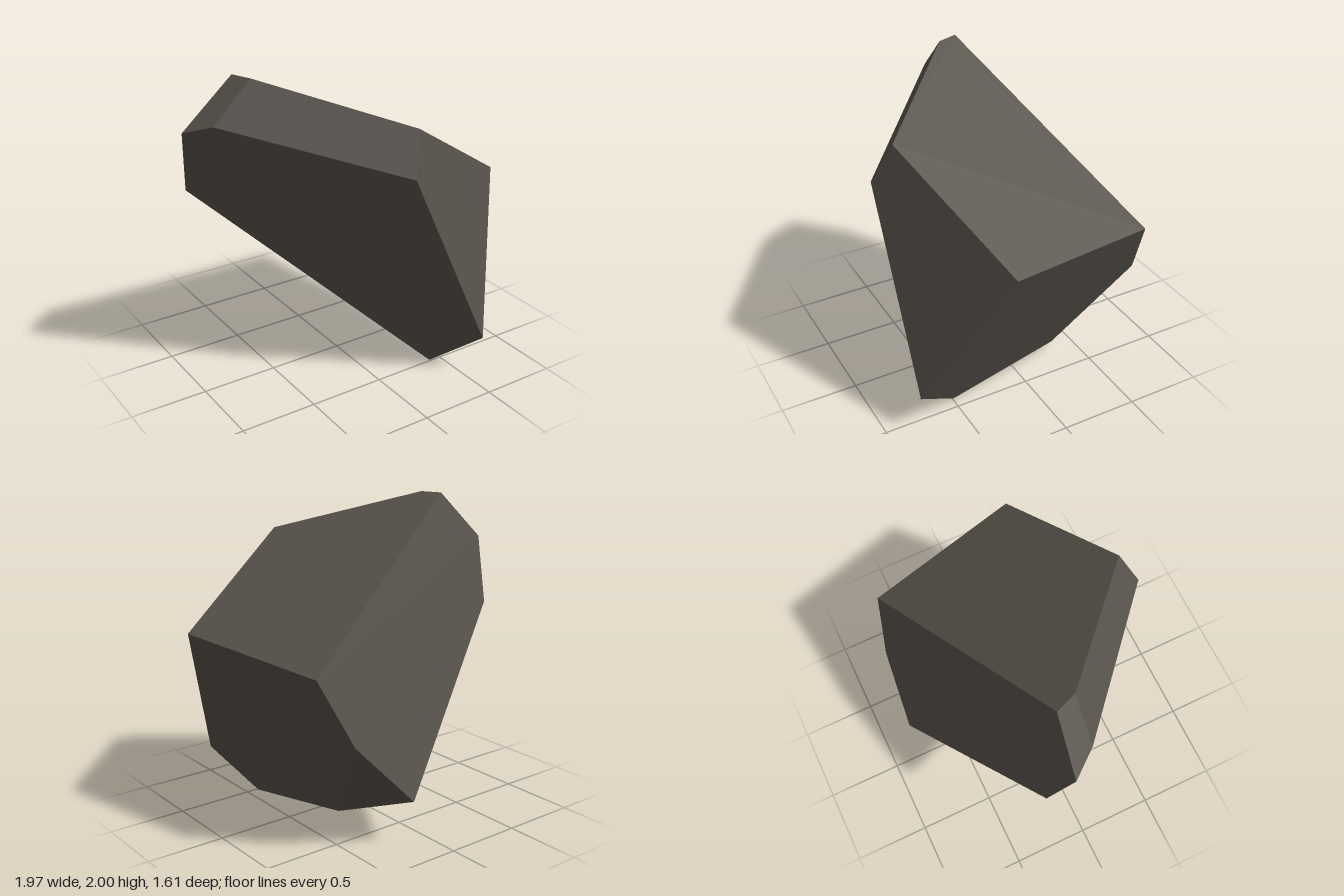
import * as THREE from 'three';

// Corners of the faceted boulder
const corners = {
  A: [-0.61, 2.0, 0.025], B: [-0.66, 2.0, -0.11],
  C: [-0.86, 1.75, 0.02], D: [-0.985, 1.69, -0.14],
  E: [0.11, 1.75, 0.69], F: [0.015, 1.49, 0.8],
  G: [0.98, 1.22, 0.355], H: [0.6, 0.265, 0.8],
  I: [0.42, 0.0, 0.49], J: [0.76, 1.13, -0.67],
  K: [0.555, 0.71, -0.755], L: [0.15, 0.29, -0.805],
  M: [0.33, 0.1, -0.3], N: [-0.92, 1.27, -0.28],
};

// Flat facets, each a loop of corners
const facets = [
  'ABJGE',  // top
  'AEFC',   // upper front bevel
  'ABDC',   // peak bevel
  'EGHF',   // front slope
  'CDNIHF', // front left side
  'GJKMIH', // left side
  'BDNLKJ', // back
  'KLM',    // lower back chip
  'NLMI',   // underside
];

function facetedSolid() {
  const centre = new THREE.Vector3(0, 1, 0);
  const positions = [], normals = [];
  for (const loop of facets) {
    let pts = [...loop].map((k) => new THREE.Vector3(...corners[k]));
    // One averaged normal per facet, pointing away from the centre
    const normal = new THREE.Vector3();
    pts.forEach((p, i) => normal.add(p.clone().cross(pts[(i + 1) % pts.length])));
    normal.normalize();
    if (normal.dot(pts[0].clone().sub(centre)) < 0) {
      normal.negate();
      pts = pts.reverse();
    }
    for (let i = 1; i < pts.length - 1; i++) {
      for (const p of [pts[0], pts[i], pts[i + 1]]) {
        positions.push(p.x, p.y, p.z);
        normals.push(normal.x, normal.y, normal.z);
      }
    }
  }
  const geometry = new THREE.BufferGeometry();
  geometry.setAttribute('position', new THREE.Float32BufferAttribute(positions, 3));
  geometry.setAttribute('normal', new THREE.Float32BufferAttribute(normals, 3));
  return geometry;
}

export function createModel() {
  const stone = new THREE.MeshStandardMaterial({ color: 0x57514a });
  stone.name = 'dark stone';
  const boulder = new THREE.Mesh(facetedSolid(), stone);
  boulder.name = 'boulder';
  const group = new THREE.Group();
  group.name = 'rock';
  group.add(boulder);
  return group;
}
